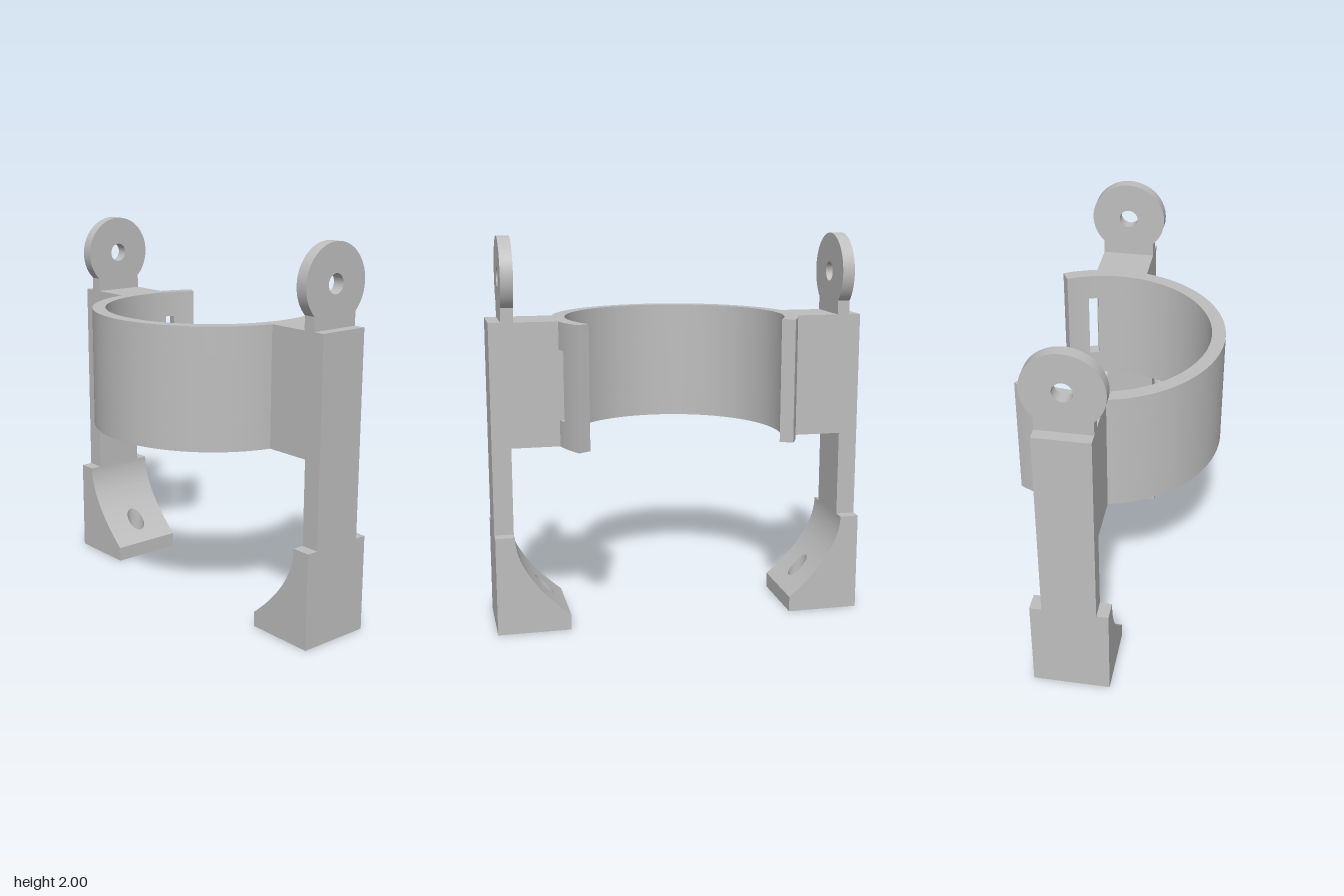
import * as THREE from 'three';
import { toCreasedNormals } from 'three/addons/utils/BufferGeometryUtils.js';

const CX = 0.155;           // bracket axis offset in x
const HALF = 0.14;          // half width of post, arm and neck
const Y0 = 0.955, Y1 = 1.585; // clamp band height range

export function createModel() {
  const model = new THREE.Group();
  model.name = 'clampBracket';
  const grey = new THREE.MeshStandardMaterial({ color: 0xbebebe });
  grey.name = 'light grey';

  const add = (parent, name, geo) => {
    const mesh = new THREE.Mesh(geo, grey);
    mesh.name = name;
    parent.add(mesh);
    return mesh;
  };
  const box = (parent, name, x0, x1, y0, y1, z0, z1) =>
    add(parent, name, new THREE.BoxGeometry(x1 - x0, y1 - y0, z1 - z0))
      .position.set((x0 + x1) / 2, (y0 + y1) / 2, (z0 + z1) / 2);

  // Open clamp band, pieced around the two strap slots
  const band = new THREE.Group();
  band.name = 'clampBand';
  band.position.x = CX;
  model.add(band);
  const arcPiece = (name, deg0, deg1, y0, y1) => {
    const a0 = THREE.MathUtils.degToRad(deg0), a1 = THREE.MathUtils.degToRad(deg1);
    const shape = new THREE.Shape();
    shape.absarc(0, 0, 0.635, a0, a1, false);
    shape.absarc(0, 0, 0.565, a1, a0, true);
    const geo = new THREE.ExtrudeGeometry(shape, {
      depth: y1 - y0, bevelEnabled: false, curveSegments: Math.max(3, Math.round((deg1 - deg0) / 4)),
    });
    geo.rotateX(-Math.PI / 2);
    geo.translate(0, y0, 0);
    add(band, name, toCreasedNormals(geo, 0.5));
  };
  const S0 = 1.09, S1 = 1.445;
  arcPiece('bandLower', 60, 300, Y0, S0);
  arcPiece('bandUpper', 60, 300, S1, Y1);
  arcPiece('bandMiddle', 77.3, 282.7, S0, S1);
  arcPiece('bandTabFront', 60, 72, S0, S1);
  arcPiece('bandTabBack', 288, 300, S0, S1);

  // Two identical legs, the second turned half a circle
  for (const [name, turn] of [['frontLeg', 0], ['backLeg', Math.PI]]) {
    const leg = new THREE.Group();
    leg.name = name;
    leg.position.x = CX;
    leg.rotation.y = turn;
    model.add(leg);
    box(leg, 'arm', -HALF, HALF, Y0, Y1, 0.6, 0.87);
    box(leg, 'post', -HALF, HALF, 0.505, Y1, 0.865, 0.963);
    box(leg, 'footBack', -0.202, 0.202, 0, 0.51, 0.865, 0.963);
    add(leg, 'footToe', toeGeometry());
    add(leg, 'ear', earGeometry());
  }
  return model;
}

// Round eyelet on a short neck
function earGeometry() {
  const r = 0.2, cy = 1.8, a = Math.acos(HALF / r);
  const shape = new THREE.Shape();
  shape.moveTo(-HALF, Y1 - 0.01);
  shape.lineTo(HALF, Y1 - 0.01);
  shape.absarc(0, cy, r, -a, Math.PI + a, false);
  shape.closePath();
  const hole = new THREE.Path();
  hole.absarc(0, cy, 0.05, 0, Math.PI * 2, true);
  shape.holes.push(hole);
  const geo = new THREE.ExtrudeGeometry(shape, { depth: 0.063, bevelEnabled: false, curveSegments: 40 });
  geo.translate(0, 0, 0.839);
  return toCreasedNormals(geo, 0.5);
}

// Curved toe with a vertical screw hole, built from slices along z
function toeGeometry() {
  const zIn = 0.588, zOut = 0.865, h = 0.202, holeZ = 0.7, holeR = 0.05;
  const height = (z) => {
    const s = Math.sqrt(Math.max(0, (zOut - z) / (zOut - zIn)));
    return (1 - s) ** 2 * 0.51 + 2 * s * (1 - s) * 0.31 + s * s * 0.08;
  };
  const halfGap = (z) => {
    const d = holeR ** 2 - (z - holeZ) ** 2;
    return d > 1e-8 ? Math.sqrt(d) : 0;
  };
  const zs = [];
  for (let i = 0; i <= 20; i++) zs.push(zOut - (zOut - zIn) * (i / 20) ** 2);
  for (let i = 0; i <= 16; i++) zs.push(holeZ - holeR * Math.cos((Math.PI * i) / 16));
  zs.sort((a, b) => a - b);

  const pos = [];
  const quad = (pts, flip) => {
    const [a, b, c, d] = flip ? [...pts].reverse() : pts;
    pos.push(...a, ...b, ...c, ...a, ...c, ...d);
  };
  for (let i = 0; i < zs.length - 1; i++) {
    const z0 = zs[i], z1 = zs[i + 1];
    if (z1 - z0 < 1e-6) continue;
    const y0 = height(z0), y1 = height(z1), w0 = halfGap(z0), w1 = halfGap(z1);
    for (const s of [1, -1]) {
      const flip = s < 0;
      quad([[s * w0, y0, z0], [s * w1, y1, z1], [s * h, y1, z1], [s * h, y0, z0]], flip); // top
      quad([[s * h, 0, z0], [s * h, 0, z1], [s * w1, 0, z1], [s * w0, 0, z0]], flip);     // base
      quad([[s * h, 0, z0], [s * h, y0, z0], [s * h, y1, z1], [s * h, 0, z1]], flip);     // cheek
      if (w0 + w1 > 0)                                                                    // hole wall
        quad([[s * w0, 0, z0], [s * w1, 0, z1], [s * w1, y1, z1], [s * w0, y0, z0]], flip);
    }
  }
  const lip = height(zIn);
  quad([[-h, 0, zIn], [-h, lip, zIn], [h, lip, zIn], [h, 0, zIn]], false);
  const geo = new THREE.BufferGeometry();
  geo.setAttribute('position', new THREE.Float32BufferAttribute(pos, 3));
  geo.computeVertexNormals();
  return geo;
}
